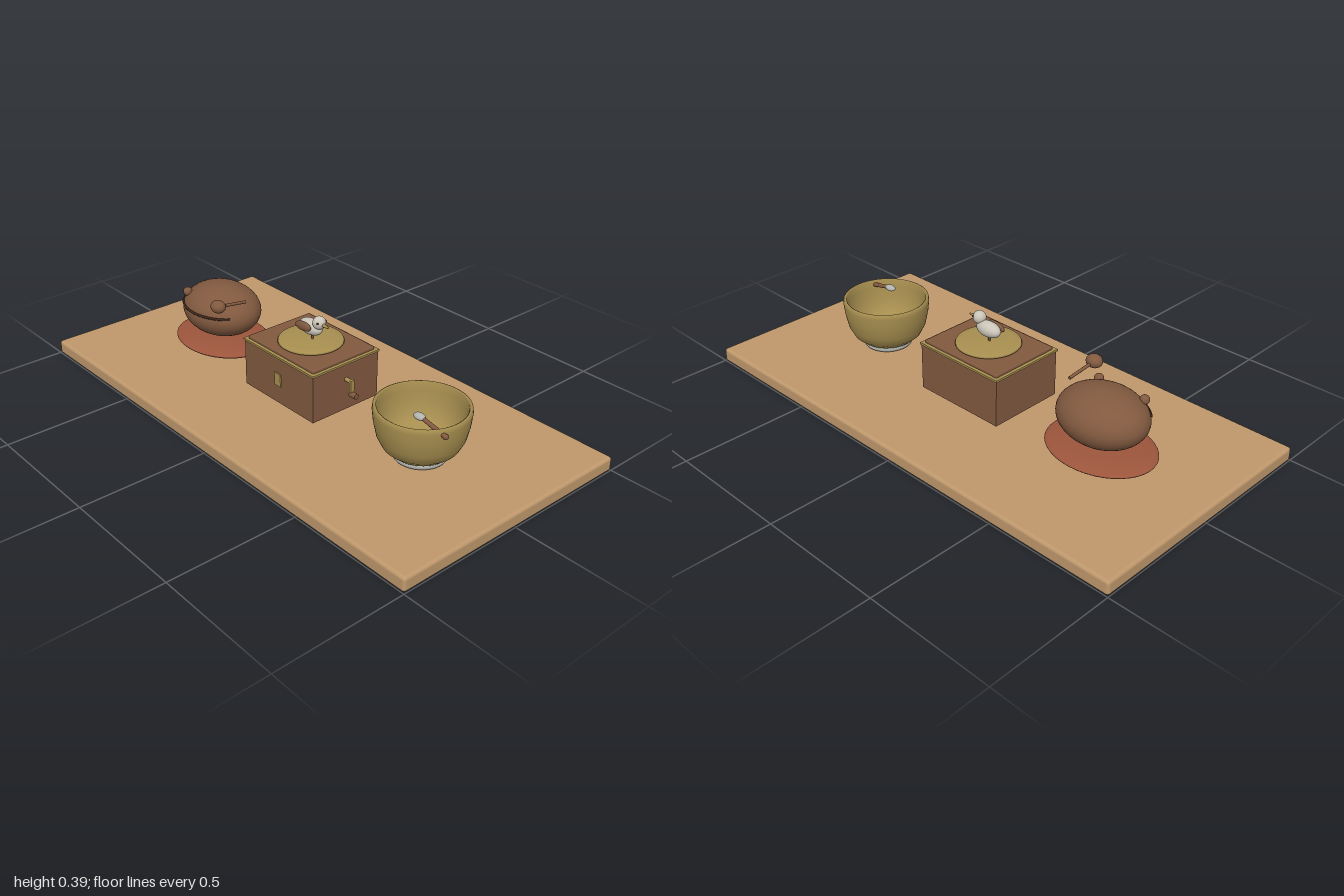
import * as THREE from 'three';
import { RoundedBoxGeometry } from 'three/addons/geometries/RoundedBoxGeometry.js';

const paint = (name, color) => {
  const m = new THREE.MeshStandardMaterial({ color });
  m.name = name;
  return m;
};

export function createModel() {
  const root = new THREE.Group();
  root.name = 'tableSet';
  const board = paint('light wood', 0xbf986c);
  const wood = paint('brown wood', 0x81593f);
  const dark = paint('dark wood', 0x3a2619);
  const red = paint('red cloth', 0x9c553c);
  const brass = paint('brass', 0xa88f50);
  const silver = paint('silver', 0xb4b4ae);
  const white = paint('off white', 0xcbc5b9);

  const group = (name, x) => {
    const g = new THREE.Group();
    g.name = name;
    g.position.x = x;
    root.add(g);
    return g;
  };
  const add = (parent, name, geo, mat, x = 0, y = 0, z = 0) => {
    const m = new THREE.Mesh(geo, mat);
    m.name = name;
    m.position.set(x, y, z);
    parent.add(m);
    return m;
  };
  const ball = (parent, name, mat, x, y, z, rx, ry = rx, rz = rx) => {
    const m = add(parent, name, new THREE.SphereGeometry(1, 40, 28), mat, x, y, z);
    m.scale.set(rx, ry, rz);
    return m;
  };
  // Cylinder running from point a to point b
  const rod = (parent, name, mat, a, b, r0, r1 = r0) => {
    const p = new THREE.Vector3(...a), q = new THREE.Vector3(...b);
    const d = q.clone().sub(p);
    const m = add(parent, name, new THREE.CylinderGeometry(r1, r0, d.length(), 16), mat);
    m.position.copy(p).add(q).multiplyScalar(0.5);
    m.quaternion.setFromUnitVectors(new THREE.Vector3(0, 1, 0), d.normalize());
    return m;
  };

  // Table top
  add(root, 'tableTop', new RoundedBoxGeometry(2, 0.056, 1, 4, 0.012), board, 0, 0.028, 0);

  // Wooden drum on its cushion
  const drum = group('woodenDrum', -0.55);
  ball(drum, 'cushion', red, 0, 0.088, 0, 0.214, 0.024, 0.172);
  ball(drum, 'drumBody', wood, 0, 0.215, 0, 0.174, 0.103, 0.145);
  const slit = [];
  for (let i = 0; i <= 16; i++) {
    const a = THREE.MathUtils.degToRad(-60 + i * 7.5);
    slit.push(new THREE.Vector3(Math.sin(a) * 0.171, 0.235, Math.cos(a) * 0.142));
  }
  add(drum, 'drumSlit', new THREE.TubeGeometry(new THREE.CatmullRomCurve3(slit), 40, 0.005, 8), dark);
  for (const s of [-1, 1]) ball(drum, 'drumKnob', wood, s * 0.1, 0.277, 0.094, 0.018);
  rod(drum, 'malletStick', wood, [0.155, 0.293, 0], [0.152, 0.309, 0.12], 0.006);
  ball(drum, 'malletHead', wood, 0.152, 0.311, 0.128, 0.032, 0.025, 0.028);

  // Music box
  const box = group('musicBox', -0.003);
  add(box, 'boxBody', new THREE.BoxGeometry(0.386, 0.186, 0.312), wood, 0, 0.167, 0);
  add(box, 'boxTrim', new THREE.BoxGeometry(0.394, 0.008, 0.32), brass, 0, 0.262, 0);
  add(box, 'boxLid', new RoundedBoxGeometry(0.368, 0.016, 0.294, 3, 0.005), wood, 0, 0.269, 0);
  for (const x of [-0.15, 0.15]) for (const z of [-0.115, 0.115])
    add(box, 'boxFoot', new THREE.CylinderGeometry(0.02, 0.016, 0.02, 20), wood, x, 0.066, z);
  add(box, 'lockPlate', new THREE.BoxGeometry(0.034, 0.05, 0.006), brass, 0, 0.172, 0.158);
  const dome = [[0, 0.276], [0.115, 0.276], [0.123, 0.281], [0.12, 0.287], [0.09, 0.292], [0, 0.296]];
  add(box, 'turntable', new THREE.LatheGeometry(dome.map(p => new THREE.Vector2(...p)), 48), brass);

  // Crank on the side of the box
  rod(box, 'crankShaft', brass, [0.185, 0.198, 0], [0.228, 0.198, 0], 0.008);
  add(box, 'crankArm', new THREE.BoxGeometry(0.01, 0.066, 0.016), brass, 0.224, 0.173, 0);
  rod(box, 'crankHandle', wood, [0.219, 0.149, 0], [0.25, 0.149, 0], 0.011);

  // Bird on the turntable
  const bird = group('bird', 0);
  ball(bird, 'birdBody', white, -0.003, 0.336, 0, 0.055, 0.03, 0.03);
  ball(bird, 'birdHead', white, 0.043, 0.368, 0, 0.025);
  rod(bird, 'birdBeak', brass, [0.062, 0.366, 0], [0.092, 0.364, 0], 0.008, 0.003);
  const wing = ball(bird, 'birdWing', wood, -0.014, 0.342, 0.028, 0.042, 0.018, 0.011);
  wing.rotation.z = 0.1;
  for (const s of [-1, 1]) {
    rod(bird, 'birdLeg', wood, [s * 0.016, 0.29, s * 0.008], [s * 0.012, 0.318, s * 0.008], 0.004);
    ball(bird, 'birdEye', dark, 0.056, 0.374, s * 0.0195, 0.004);
  }

  // Singing bowl with its ring
  const bowl = group('bowl', 0.57);
  const profile = [
    [0, 0.076], [0.08, 0.077], [0.105, 0.086], [0.135, 0.112], [0.154, 0.15], [0.165, 0.2],
    [0.17, 0.245], [0.168, 0.261], [0.162, 0.264], [0.156, 0.26], [0.154, 0.23], [0.149, 0.19],
    [0.139, 0.152], [0.12, 0.118], [0.085, 0.095], [0, 0.089],
  ];
  add(bowl, 'bowlShell', new THREE.LatheGeometry(profile.map(p => new THREE.Vector2(...p)), 64), brass);
  const ring = add(bowl, 'bowlRing', new THREE.TorusGeometry(0.083, 0.014, 16, 48), silver, 0, 0.073, 0);
  ring.rotation.x = Math.PI / 2;

  // Striker resting through the bowl rim
  rod(bowl, 'strikerHandle', wood, [0.05, 0.264, 0.063], [0.166, 0.24, 0.063], 0.007, 0.009);
  ball(bowl, 'strikerEnd', wood, 0.166, 0.24, 0.063, 0.01);
  ball(bowl, 'strikerHead', silver, 0.047, 0.263, 0.063, 0.024, 0.012, 0.016);

  return root;
}
